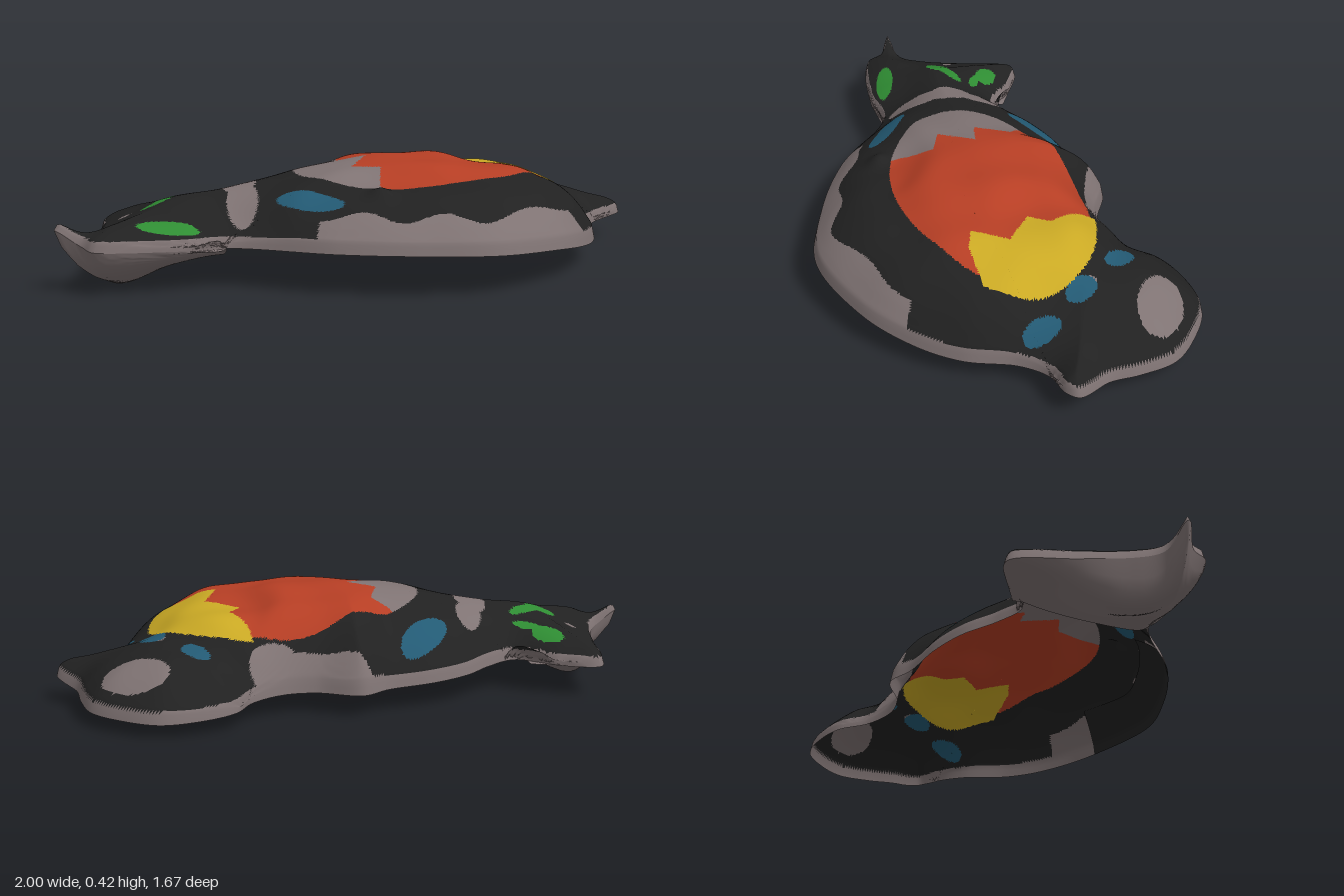
import * as THREE from 'three';

// Plan of the bird's rim as x, z: tail, back, head, beak, breast, tail
const RIM = [
  [-1, .19], [-.85, .17], [-.66, .2], [-.58, .1], [-.52, -.03], [-.42, -.15], [-.27, -.27], [-.2, -.36],
  [-.02, -.37], [.09, -.42], [.17, -.53], [.19, -.65], [.27, -.75], [.4, -.83], [.56, -.82], [.7, -.77],
  [.8, -.66], [.87, -.56], [.995, -.48], [.985, -.43], [.9, -.36], [.87, -.25], [.89, -.05], [.86, .15],
  [.78, .35], [.57, .59], [.3, .67], [0, .69], [-.4, .63], [-.55, .73], [-.83, .83], [-.89, .79],
  [-.99, .78], [-.91, .7], [-.91, .6], [-.95, .42],
];

// Crown heights as x, z, height
const CROWN = [
  [.2, .1, .42], [0, .15, .42], [.5, .1, .39], [.45, -.25, .35], [.5, -.55, .26], [.5, -.72, .23],
  [-.2, .2, .38], [-.45, .3, .34], [-.65, .4, .32], [-.85, .45, .25], [-.6, .65, .29], [-.36, 0, .32],
  [.15, .45, .35], [.6, .3, .35], [0, -.2, .39], [.75, -.05, .34], [.75, -.4, .25],
];

// Painted ovals by colour: x, z, half length, half width, turn
const OVALS = {
  blue: [[.4, -.515, .068, .042, .5], [.62, -.415, .065, .045, .6], [.79, -.31, .07, .04, 1],
    [-.35, -.05, .13, .054, 1.95], [-.13, .52, .13, .042, .2]],
  green: [[-.78, .265, .065, .036, .2], [-.69, .295, .06, .016, 0], [-.71, .47, .065, .042, -.6],
    [-.66, .4, .08, .026, -.9], [-.61, .68, .11, .037, -.3]],
  grey: [[.56, -.69, .135, .08, .1], [-.465, .22, .1, .05, 1.4], [-.44, .34, .1, .065, 1.1],
    [-.39, .47, .12, .057, 1.3], [-.1, -.36, .2, .055, -.05], [.12, -.42, .1, .07, -.6],
    [.58, -.44, .025, .025, 0], [-.84, .46, .022, .018, 0]],
};

// Zigzag edges across the back dial: across, along
const REAR_ZIGZAG = [[-.25, -.34], [-.2, -.275], [-.07, -.34], [-.035, -.23], [.08, -.345], [.13, -.25], [.25, -.31]];
const FRONT_ZIGZAG = [[-.27, .23], [-.14, .276], [-.07, .217], [.045, .332], [.167, .26], [.25, .43]];

const COLORS = { black: 0x212121, grey: 0x7f7373, orange: 0xb53e24, yellow: 0xcaa924, blue: 0x235a74, green: 0x2f8d33 };
const NAMES = Object.keys(COLORS);
const CX = .2, CZ = .2;
const SIDES = 520, RINGS = 112;

const bump = (x, z, cx, cz, size) => Math.exp(-((x - cx) ** 2 + (z - cz) ** 2) / size);

// The rim rises toward the breast, dips along the side, and flicks up at the tail corner and beak
const rimHeight = (x, z) => .113 + .07 * z + .07 * bump(x, z, -1, .78, .008)
  - .025 * bump(x, z, .95, .05, .1) + .03 * bump(x, z, 1, -.45, .01);

function rimDistance(rim, x, z) {
  let best = Infinity;
  for (const p of rim) best = Math.min(best, (p.x - x) ** 2 + (p.z - z) ** 2);
  return Math.sqrt(best);
}

// Smooth blend of the crown heights
function crown(x, z) {
  let sum = 0, total = 0;
  for (const [px, pz, h] of CROWN) {
    const w = bump(x, z, px, pz, .022) + 1e-9;
    sum += w * h;
    total += w;
  }
  return sum / total;
}

// Short upright rim, then a rounded rise to the crown
function shellHeight(rim, x, z) {
  const d = rimDistance(rim, x, z);
  const y = rimHeight(x, z) + .03 * Math.min(d / .012, 1);
  const rise = 1 - (1 - Math.min(d / .38, 1)) ** 3;
  const ripple = .005 * Math.sin(17 * x + 5 * z) * Math.sin(19 * z - 4 * x);
  const knobs = .03 * (bump(x, z, .12, .48, .002) + bump(x, z, .22, -.45, .002));
  return y + (crown(x, z) - y + ripple + knobs) * rise;
}

const liningHeight = (rim, x, z) => shellHeight(rim, x, z) - .008 * Math.min(rimDistance(rim, x, z) / .015, 1);

function tailHeight(rim, x, z) {
  const low = .12 - .125 * bump(x, z, -.86, .58, .045);
  return low + (rimHeight(x, z) - low) * Math.exp(-rimDistance(rim, x, z) / .03);
}

// Offset from a centre, measured along and across a turned axis
function turned(x, z, cx, cz, turn) {
  const c = Math.cos(turn), s = Math.sin(turn);
  return [(x - cx) * c + (z - cz) * s, (z - cz) * c - (x - cx) * s];
}

function zigzag(points, v) {
  const i = points.findIndex(p => p[0] > v);
  if (i < 1) return points.at(i)[1];
  const [v0, u0] = points[i - 1], [v1, u1] = points[i];
  return u0 + (u1 - u0) * (v - v0) / (v1 - v0);
}

function paint(rim, x, z) {
  // Dial on the back: grey, orange and yellow bands
  const [u, v] = turned(x, z, .22, .015, -.6);
  const reach = (u / .53) ** 2 + (v / .35) ** 2;
  if (reach < 1.12 && v < .2 && u > zigzag(FRONT_ZIGZAG, v)) return 'yellow';
  if (reach < 1) return u < zigzag(REAR_ZIGZAG, v) ? 'grey' : 'orange';
  for (const name in OVALS) {
    for (const [cx, cz, a, b, turn] of OVALS[name]) {
      const [p, q] = turned(x, z, cx, cz, turn);
      if ((p / a) ** 2 + (q / b) ** 2 < 1) return name;
    }
  }
  // Wavy breast band and thin bare edge
  const band = x > -.08 && z > .16 ? .09 + .018 * Math.sin(22 * x) : .014;
  return rimDistance(rim, x, z) < band ? 'grey' : 'black';
}

// Sheet of rays running from an inner edge out to the rim
function sheet(rim, rays, rings, startOf, heightOf) {
  const pos = [], index = [], row = rings + 1;
  rays.forEach((p, i) => {
    const t0 = startOf(p);
    for (let j = 0; j <= rings; j++) {
      const t = t0 + (1 - t0) * j / rings;
      const x = CX + (p.x - CX) * t, z = CZ + (p.z - CZ) * t;
      pos.push(x, heightOf(rim, x, z), z);
      const a = i * row + j, b = a + row;
      if (i < rays.length - 1 && j < rings) index.push(a, b + 1, a + 1, a, b, b + 1);
    }
  });
  const geo = new THREE.BufferGeometry();
  geo.setAttribute('position', new THREE.Float32BufferAttribute(pos, 3));
  geo.setIndex(index);
  geo.computeVertexNormals();
  return geo;
}

// Sort the faces by paint colour into material groups
function paintFaces(geo, rim) {
  const pos = geo.attributes.position, faces = geo.index.array;
  const bins = NAMES.map(() => []);
  for (let i = 0; i < faces.length; i += 3) {
    const f = [faces[i], faces[i + 1], faces[i + 2]];
    const x = f.reduce((s, k) => s + pos.getX(k), 0) / 3;
    const z = f.reduce((s, k) => s + pos.getZ(k), 0) / 3;
    bins[NAMES.indexOf(paint(rim, x, z))].push(...f);
  }
  let start = 0;
  bins.forEach((bin, m) => {
    geo.addGroup(start, bin.length, m);
    start += bin.length;
  });
  geo.setIndex(bins.flat());
}

export function createModel() {
  const group = new THREE.Group();
  group.name = 'birdShell';
  const materials = NAMES.map(name => {
    const material = new THREE.MeshStandardMaterial({ color: COLORS[name], side: THREE.DoubleSide });
    material.name = name;
    return material;
  });
  const add = (name, geo, material) => {
    const mesh = new THREE.Mesh(geo, material);
    mesh.name = name;
    group.add(mesh);
  };

  const curve = new THREE.CatmullRomCurve3(RIM.map(([x, z]) => new THREE.Vector3(x, 0, z)), true, 'centripetal');
  const rim = curve.getSpacedPoints(SIDES);

  // Painted upper shell, open underneath
  const shell = sheet(rim, rim, RINGS, () => 0, shellHeight);
  paintFaces(shell, rim);
  add('paintedBody', shell, materials);

  // Dark lining behind the breast band
  const breast = rim.filter(p => p.x > -.12 && p.z > .35);
  add('breastLining', sheet(rim, breast, 24, () => .78, liningHeight), materials[NAMES.indexOf('black')]);

  // Sagging sheet that closes the tail from below, with a slanted open edge
  const slant = p => -.911 / (p.x - CX - .7 * (p.z - CZ));
  const isTail = p => p.x < -.37 && slant(p) > 0 && slant(p) < 1;
  const lower = rim.filter((p, i) => i > SIDES / 2 && isTail(p));
  const upper = rim.filter((p, i) => i > 0 && i < SIDES / 2 && isTail(p));
  add('tailUnderside', sheet(rim, [...lower, ...upper], 24, slant, tailHeight), materials[NAMES.indexOf('grey')]);
  return group;
}
